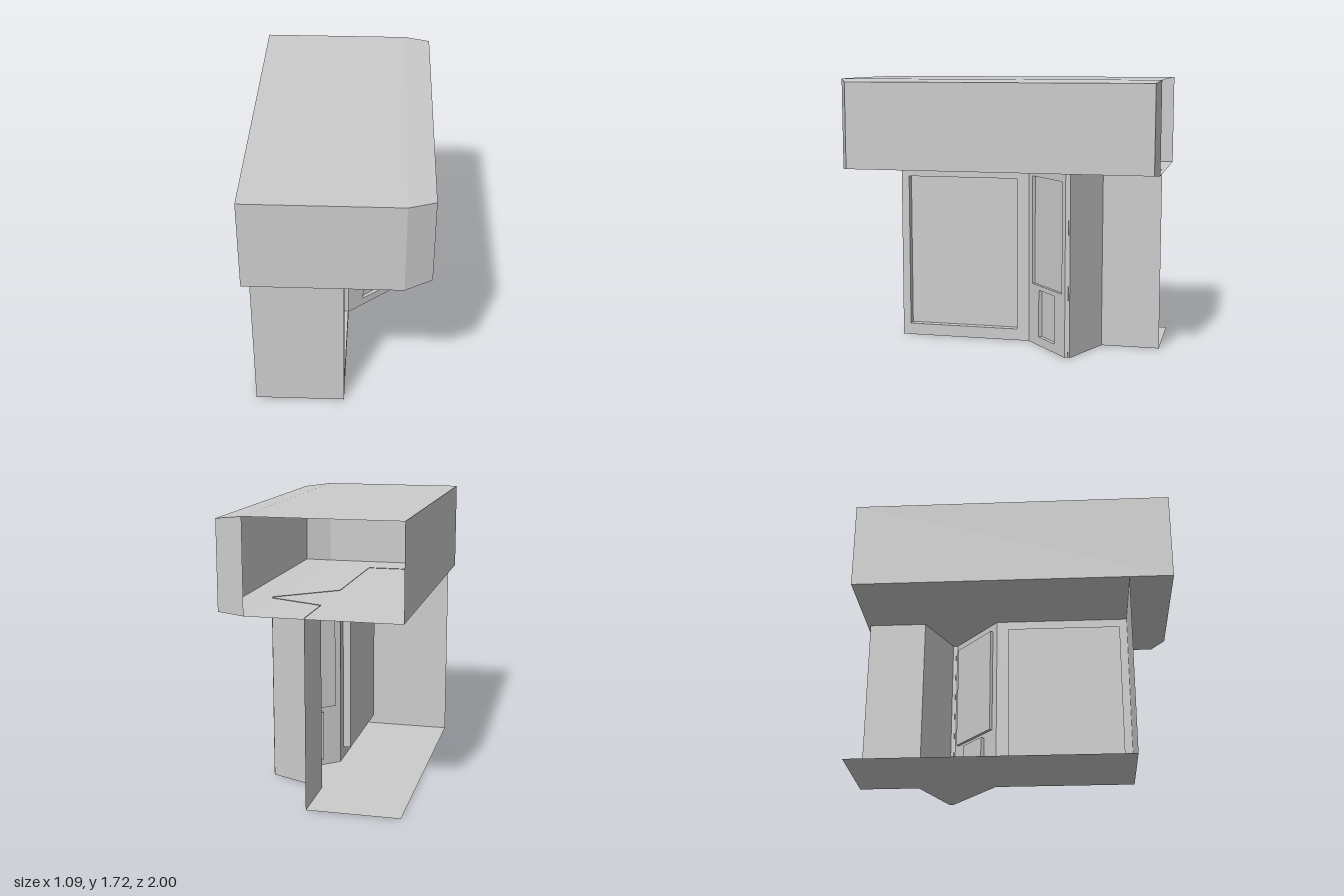
import * as THREE from 'three';

const grey = new THREE.MeshStandardMaterial({ color: 0xcccccc, side: THREE.DoubleSide });
const WALL_TOP = 1.15;

function mesh(name, geometry) {
  const m = new THREE.Mesh(geometry, grey);
  m.name = name;
  return m;
}

// flat-shaded geometry from four-cornered faces
function fromQuads(quads) {
  const pos = [];
  for (const [a, b, c, d] of quads) for (const p of [a, b, c, a, c, d]) pos.push(...p);
  const g = new THREE.BufferGeometry();
  g.setAttribute('position', new THREE.Float32BufferAttribute(pos, 3));
  g.computeVertexNormals();
  return g;
}

const rect = (x0, x1, y0, y1) => [[x0, y0], [x1, y0], [x1, y1], [x0, y1]];
const toPoints = (list) => list.map(([x, y]) => new THREE.Vector2(x, y));

// recessed panel with its four reveals
function pocket(name, corners, depth) {
  const front = corners.map(([x, y]) => [x, y, 0]);
  const back = corners.map(([x, y]) => [x, y, -depth]);
  const quads = [back];
  for (let i = 0; i < 4; i++) {
    const j = (i + 1) % 4;
    quads.push([front[i], front[j], back[j], back[i]]);
  }
  return mesh(name, fromQuads(quads));
}

// thin upright wall between two floor points [x, z], with recessed panels
function wall(name, a, b, panels = []) {
  const dx = b[0] - a[0], dz = b[1] - a[1];
  const shape = new THREE.Shape(toPoints(rect(0, Math.hypot(dx, dz), 0, WALL_TOP)));
  const group = new THREE.Group();
  group.name = name;
  for (const p of panels) {
    const corners = rect(...p.area);
    shape.holes.push(new THREE.Path(toPoints(corners)));
    group.add(pocket(p.name, corners, p.depth));
  }
  group.add(mesh(name + 'Sheet', new THREE.ShapeGeometry(shape)));
  group.position.set(a[0], 0, a[1]);
  group.rotation.y = Math.atan2(-dz, dx);
  return group;
}

// overhead box: tapered toward +x, open at the back end
function canopy() {
  const ring = (x, y0, y1, z0, z1) => [[x, y0, z1], [x, y1, z1], [x, y1, z0], [x, y0, z0]];
  const rings = [
    ring(-0.545, 1.147, 1.715, -1, 1),
    ring(0.38, 1.147, 1.715, -1, 1),
    ring(0.54, 1.162, 1.698, -0.98, 0.92),
  ];
  const quads = [rings[0], [...rings[2]].reverse()];
  for (let r = 0; r < 2; r++) {
    for (let i = 0; i < 4; i++) {
      if (r === 0 && i === 2) continue; // open back
      const j = (i + 1) % 4;
      quads.push([rings[r][i], rings[r + 1][i], rings[r + 1][j], rings[r][j]]);
    }
  }
  return mesh('canopy', fromQuads(quads));
}

export function createModel() {
  const model = new THREE.Group();
  model.name = 'booth';

  // floor plan, starting at the front -x corner
  const plan = [
    [-0.535, 0.73], [0.03, 0.73], [0.03, -0.13], [0.38, -0.43],
    [0.38, -0.46], [0.03, -0.61], [0.03, -0.98],
  ];
  const names = ['frontWall', 'windowWall', 'angledWall', 'cornerEdge', 'returnWall', 'rearWall'];
  const panels = {
    windowWall: [{ name: 'largeWindow', area: [0.05, 0.78, 0.075, 1.07], depth: 0.05 }],
    angledWall: [
      { name: 'upperPanel', area: [0.046, 0.42, 0.395, 1.095], depth: 0.02 },
      { name: 'lowerNiche', area: [0.132, 0.33, 0.045, 0.365], depth: 0.025 },
    ],
  };
  names.forEach((name, i) => {
    const w = wall(name, plan[i], plan[i + 1], panels[name]);
    if (name === 'angledWall') {
      // small ledge at the bottom of the niche
      const ledge = mesh('nicheLedge', new THREE.BoxGeometry(0.198, 0.012, 0.025));
      ledge.position.set(0.231, 0.051, -0.0125);
      w.add(ledge);
    }
    model.add(w);
  });

  // floor, running to the open back corner
  const floor = new THREE.ShapeGeometry(new THREE.Shape(toPoints([...plan, [-0.535, -0.98]])));
  model.add(mesh('floor', floor.rotateX(Math.PI / 2)));

  // thin upright strip on the outer corner
  const strip = mesh('cornerStrip', new THREE.BoxGeometry(0.012, 1.12, 0.012));
  strip.position.set(0.378, 0.57, -0.445);
  model.add(strip);

  model.add(canopy());
  return model;
}
